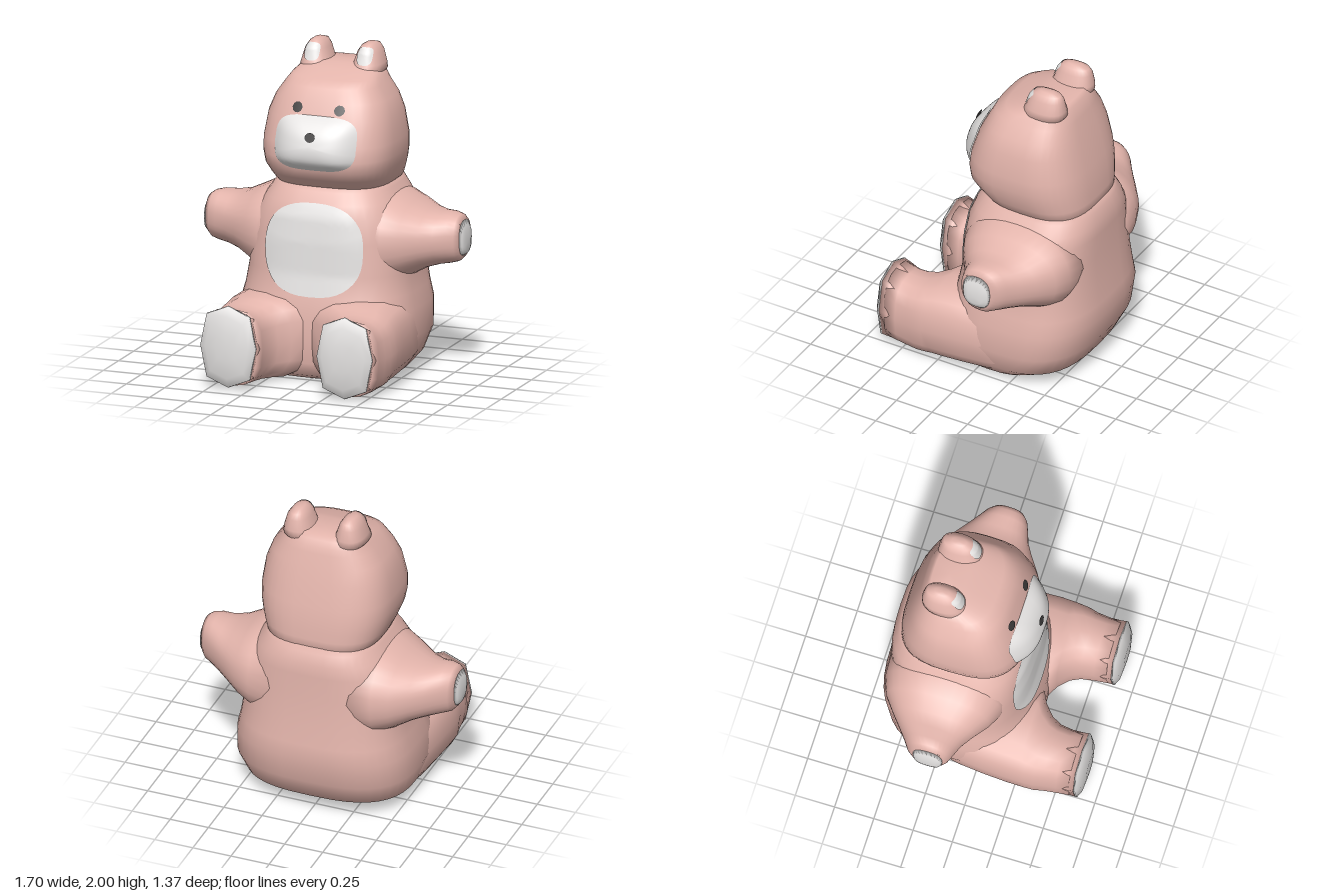
import * as THREE from 'three';

const mat = (name, color, side = THREE.FrontSide) =>
  Object.assign(new THREE.MeshStandardMaterial({ color, side }), { name });

// Superellipse power
const sp = (v, n) => Math.sign(v) * Math.pow(Math.abs(v), 2 / n);

// Skin over rounded sections [t, aMin, aMax, bMin, bMax].
// axis y: a = z, b = x;  axis x: a = y, b = z;  axis z: a = x, b = y
function loft(axis, secs, n = 2.5, sides = 32) {
  const pos = [], idx = [];
  const put = (t, a, b) => pos.push(...(axis === 'y' ? [b, t, a] : axis === 'x' ? [t, a, b] : [a, b, t]));
  for (const [t, a0, a1, b0, b1] of secs) {
    for (let j = 0; j < sides; j++) {
      const q = (j / sides) * Math.PI * 2;
      put(t, (a0 + a1) / 2 + (a1 - a0) / 2 * sp(Math.cos(q), n), (b0 + b1) / 2 + (b1 - b0) / 2 * sp(Math.sin(q), n));
    }
  }
  const last = secs.length - 1, base = secs.length * sides;
  for (const s of [secs[0], secs[last]]) put(s[0], (s[1] + s[2]) / 2, (s[3] + s[4]) / 2);
  for (let j = 0; j < sides; j++) {
    const k = (j + 1) % sides;
    for (let i = 0; i < last; i++) {
      const a = i * sides + j, b = i * sides + k;
      idx.push(a, b, b + sides, a, b + sides, a + sides);
    }
    idx.push(base, k, j, base + 1, last * sides + j, last * sides + k);
  }
  return build(pos, idx);
}

function build(pos, idx) {
  const g = new THREE.BufferGeometry();
  g.setAttribute('position', new THREE.Float32BufferAttribute(pos, 3));
  g.setIndex(idx);
  g.computeVertexNormals();
  return g;
}

// Copy of a geometry on the other side of x = 0
function mirror(geo) {
  const p = Array.from(geo.attributes.position.array, (v, i) => (i % 3 === 0 ? -v : v));
  return build(p, Array.from(geo.index.array).reverse());
}

// Height z of the front of an upright loft at (x, y)
function frontZ(secs, n, x, y) {
  let i = 0;
  while (i < secs.length - 2 && secs[i + 1][0] < y) i++;
  const f = THREE.MathUtils.clamp((y - secs[i][0]) / (secs[i + 1][0] - secs[i][0]), 0, 1);
  const [, z0, z1, x0, x1] = secs[i].map((v, k) => THREE.MathUtils.lerp(v, secs[i + 1][k], f));
  const u = Math.min(1, Math.abs((x - (x0 + x1) / 2) / ((x1 - x0) / 2)));
  return (z0 + z1) / 2 + (z1 - z0) / 2 * Math.pow(1 - Math.pow(u, n), 1 / n);
}

// Thin rounded patch that follows a height function z(x, y, r)
function patch(cx, cy, rx, ry, power, height, rings = 10, sides = 40) {
  const pos = [cx, cy, height(cx, cy, 0)], idx = [];
  for (let i = 1; i <= rings; i++) {
    for (let j = 0; j < sides; j++) {
      const q = (j / sides) * Math.PI * 2, r = i / rings;
      const x = cx + rx * r * sp(Math.cos(q), power), y = cy + ry * r * sp(Math.sin(q), power);
      pos.push(x, y, height(x, y, r));
      const k = (j + 1) % sides, o = 1 + (i - 1) * sides;
      if (i === 1) idx.push(0, 1 + j, 1 + k);
      else idx.push(o - sides + j, o + j, o + k, o - sides + j, o + k, o - sides + k);
    }
  }
  return build(pos, idx);
}

export function createModel() {
  const model = new THREE.Group();
  model.name = 'seatedBear';
  const pink = mat('pinkFur', 0xe4b5ac);
  const white = mat('whiteFur', 0xe6e4e3, THREE.DoubleSide);
  const dark = mat('darkFace', 0x3c3a3a, THREE.DoubleSide);

  const add = (name, geo, material) => {
    const m = new THREE.Mesh(geo, material);
    m.name = name;
    model.add(m);
  };
  const pair = (name, geo, material) => {
    add('left' + name, geo, material);
    add('right' + name, mirror(geo), material);
  };
  // Symmetric upright section: y, back, front, half width
  const sym = ([y, z0, z1, w]) => [y, z0, z1, -w, w];

  // Torso
  const torso = [
    [0, -0.2, 0.2, 0.36], [0.03, -0.43, 0.26, 0.47], [0.11, -0.59, 0.285, 0.53], [0.25, -0.66, 0.29, 0.575],
    [0.42, -0.69, 0.28, 0.565], [0.52, -0.68, 0.25, 0.54], [0.65, -0.665, 0.225, 0.52], [0.85, -0.65, 0.215, 0.51],
    [1.0, -0.65, 0.195, 0.47], [1.08, -0.645, 0.165, 0.42], [1.15, -0.62, 0.12, 0.375], [1.2, -0.59, 0.06, 0.34],
  ].map(sym);
  add('torso', loft('y', torso, 2.8, 40), pink);
  add('bellyPatch', patch(0, 0.805, 0.32, 0.285, 2.5, (x, y) => frontZ(torso, 2.8, x, y) + 0.007), white);

  // Head
  const head = [
    [1.1, -0.56, 0.02, 0.3], [1.18, -0.6, 0.1, 0.365], [1.23, -0.597, 0.15, 0.385], [1.29, -0.593, 0.2, 0.405],
    [1.36, -0.585, 0.205, 0.418], [1.45, -0.57, 0.19, 0.42], [1.6, -0.535, 0.14, 0.398], [1.7, -0.508, 0.09, 0.36],
    [1.78, -0.485, 0.05, 0.305], [1.82, -0.472, -0.02, 0.28], [1.86, -0.45, -0.15, 0.245], [1.885, -0.43, -0.22, 0.18],
  ].map(sym);
  add('head', loft('y', head, 2.9, 40), pink);

  // Muzzle, nose and eyes
  const faceZ = (x, y) => frontZ(head, 2.9, x, y);
  const bulge = (r) => 0.006 + 0.075 * (1 - Math.pow(r, 2.7));
  add('muzzle', patch(0, 1.467, 0.265, 0.163, 3.6, (x, y, r) => faceZ(x, y) + bulge(r)), white);
  add('nose', patch(0, 1.52, 0.034, 0.029, 2, (x, y) => faceZ(x, y) + bulge(0.3) + 0.008, 3, 12), dark);
  pair('Eye', patch(0.137, 1.667, 0.034, 0.031, 2, (x, y) => faceZ(x, y) + 0.007, 3, 10), dark);

  // Ears
  const ear = [
    [1.76, -0.4, -0.15, 0.08, 0.22], [1.84, -0.452, -0.165, 0.055, 0.27], [1.88, -0.45, -0.19, 0.075, 0.262],
    [1.95, -0.437, -0.215, 0.098, 0.242], [1.985, -0.42, -0.24, 0.12, 0.218], [2.0, -0.37, -0.28, 0.145, 0.195],
  ];
  pair('Ear', loft('y', ear, 2.3, 24), pink);
  pair('InnerEar', patch(0.172, 1.935, 0.05, 0.052, 3, (x, y) => frontZ(ear, 2.3, x, y) + 0.007, 6, 24), white);

  // Arms, flaring into the shoulders, with pale paw tips
  pair('Arm', loft('x', [
    [0.2, 0.52, 1.15, -0.63, 0.15], [0.4, 0.55, 1.115, -0.62, 0.125], [0.5, 0.605, 1.065, -0.58, 0.075],
    [0.6, 0.66, 1.02, -0.505, 0.005], [0.68, 0.685, 1.01, -0.44, -0.045], [0.75, 0.7, 1.015, -0.385, -0.07],
    [0.8, 0.715, 1.005, -0.35, -0.09], [0.828, 0.745, 0.985, -0.315, -0.115],
  ], 2.3), pink);
  pair('PawTip', loft('x', [
    [0.824, 0.75, 0.985, -0.31, -0.115], [0.842, 0.765, 0.94, -0.295, -0.128], [0.85, 0.79, 0.88, -0.26, -0.16],
  ], 2.5, 24), white);

  // Legs joining in a rounded arch
  pair('Leg', loft('z', [
    [-0.35, 0, 0.52, 0.03, 0.48], [-0.1, 0, 0.57, 0.01, 0.515], [0.05, 0, 0.585, 0.005, 0.52],
    [0.2, 0, 0.593, 0, 0.515], [0.28, 0.01, 0.593, 0, 0.5], [0.32, 0.09, 0.59, 0, 0.49],
    [0.38, 0.155, 0.585, 0, 0.475], [0.44, 0.187, 0.57, 0, 0.467], [0.52, 0.2, 0.56, 0.005, 0.47], [0.6, 0.205, 0.555, 0.012, 0.5],
  ], 2.7, 16), pink);

  // Eight-sided feet and soles
  pair('Foot', loft('z', [
    [0.5, 0.21, 0.55, 0.01, 0.46], [0.58, 0.2, 0.56, 0.01, 0.497], [0.634, 0.2, 0.56, 0.01, 0.52],
  ], 2.7, 8), pink);
  pair('Sole', loft('z', [
    [0.63, 0.198, 0.562, 0.008, 0.522], [0.643, 0.2, 0.56, 0.012, 0.518],
    [0.667, 0.24, 0.52, 0.07, 0.46], [0.68, 0.31, 0.45, 0.18, 0.36],
  ], 2.7, 8), white);

  return model;
}
